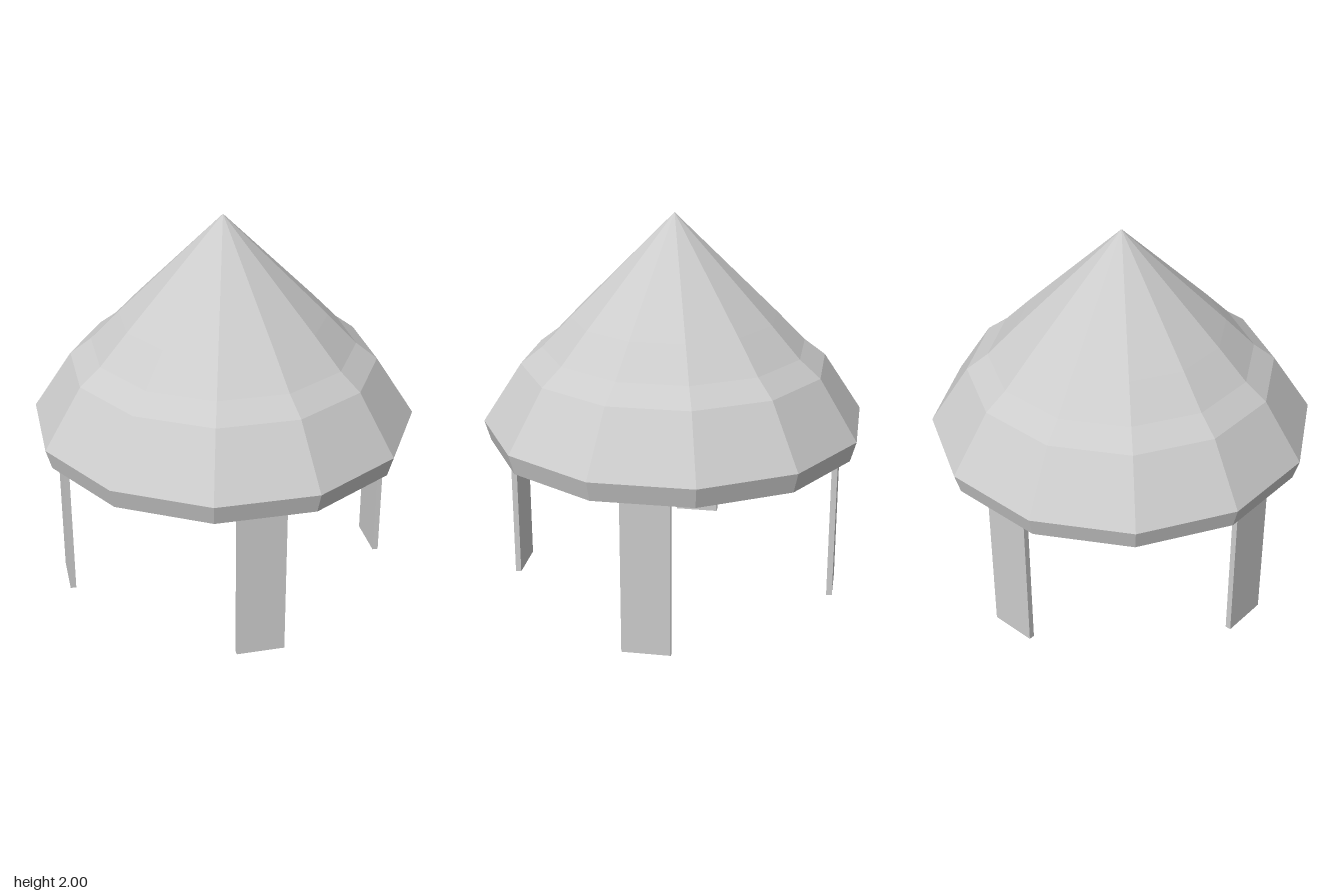
import * as THREE from 'three';

export function createModel() {
  const model = new THREE.Group();
  model.name = 'shelter';

  const grey = new THREE.MeshStandardMaterial({ color: 0xcccccc, flatShading: true, side: THREE.DoubleSide });
  grey.name = 'plain grey';

  // Twelve-sided open roof shell: inward rim, flared skirt, shallow shoulder, cone
  const profile = [
    [0.96, 0.825], [0.99, 0.93], [0.79, 1.235], [0.68, 1.32], [0.53, 1.475], [0, 2],
  ].map(([r, y]) => new THREE.Vector2(r, y));
  const roof = new THREE.Mesh(new THREE.LatheGeometry(profile, 12), grey);
  roof.name = 'roof';
  model.add(roof);

  // Four flat plank legs on the diagonals, tucked up inside the roof
  const legHeight = 0.98;
  const legGeometry = new THREE.BoxGeometry(0.245, legHeight, 0.03);
  for (let i = 0; i < 4; i++) {
    const angle = Math.PI / 4 + (i * Math.PI) / 2;
    const leg = new THREE.Mesh(legGeometry, grey);
    leg.name = 'leg' + (i + 1);
    leg.position.set(0.85 * Math.sin(angle), legHeight / 2, 0.85 * Math.cos(angle));
    leg.rotation.y = angle;
    model.add(leg);
  }

  return model;
}
